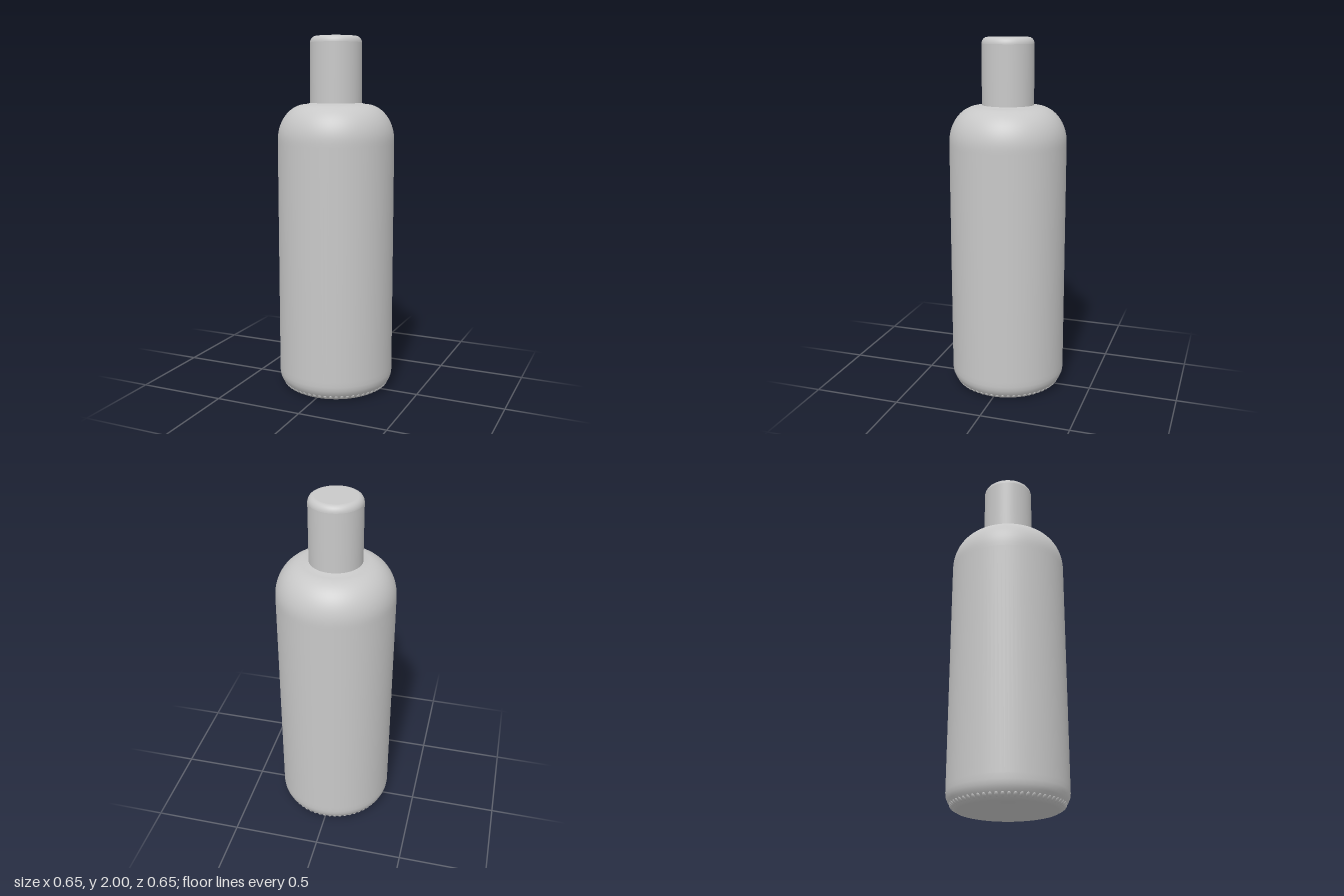
import * as THREE from 'three';
import { mergeGeometries } from 'three/addons/utils/BufferGeometryUtils.js';

const SEGMENTS = 96;

export function createModel() {
  const group = new THREE.Group();
  group.name = 'bottle';
  const grey = new THREE.MeshStandardMaterial({ color: 0xc8c8c8 });
  grey.name = 'plain grey';

  const add = (name, geometry) => {
    const mesh = new THREE.Mesh(geometry, grey);
    mesh.name = name;
    group.add(mesh);
  };
  const lathe = (name, path) => {
    const points = path.map(([r, y]) => new THREE.Vector2(r, y));
    add(name, new THREE.LatheGeometry(points, SEGMENTS));
  };
  // Quarter ellipse from (r + a, y) up to (r, y + b)
  const quarter = (r, y, a, b, steps) =>
    Array.from({ length: steps + 1 }, (_, i) => {
      const t = (i / steps) * Math.PI / 2;
      return [r + a * Math.cos(t), y + b * Math.sin(t)];
    });

  // Hollow underside
  lathe('punt', [[0, 0.05], [0.04, 0.048], [0.1, 0.036], [0.17, 0.022], [0.22, 0.012], [0.25, 0.003], [0.262, 0]]);

  // Rounded heel, straight wall and domed shoulder
  lathe('body', [
    [0.262, 0], [0.275, 0.003], [0.289, 0.013], [0.303, 0.028], [0.316, 0.047], [0.324, 0.067], [0.327, 0.09],
    [0.327, 0.12], [0.327, 1.41],
    ...quarter(0.165, 1.43, 0.162, 0.2, 14),
    [0.14, 1.637],
  ]);

  // Ring of small grip beads around the heel
  const beads = [];
  const count = 60;
  for (let i = 0; i < count; i++) {
    const bead = new THREE.SphereGeometry(1, 10, 8);
    bead.scale(0.012, 0.017, 0.009);
    bead.rotateZ(0);
    bead.rotateX(0.75);
    bead.translate(0, 0.024, 0.294);
    bead.rotateY((i / count) * Math.PI * 2);
    beads.push(bead);
  }
  add('heelBeads', mergeGeometries(beads));

  // Cap: underside, straight side, rounded rim and flat top
  lathe('capUnderside', [[0.12, 1.636], [0.144, 1.636]]);
  lathe('capSide', [[0.144, 1.636], [0.144, 1.965]]);
  lathe('capRim', quarter(0.113, 1.962, 0.031, 0.038, 8));
  lathe('capTop', [[0.113, 2], [0, 2]]);

  return group;
}
